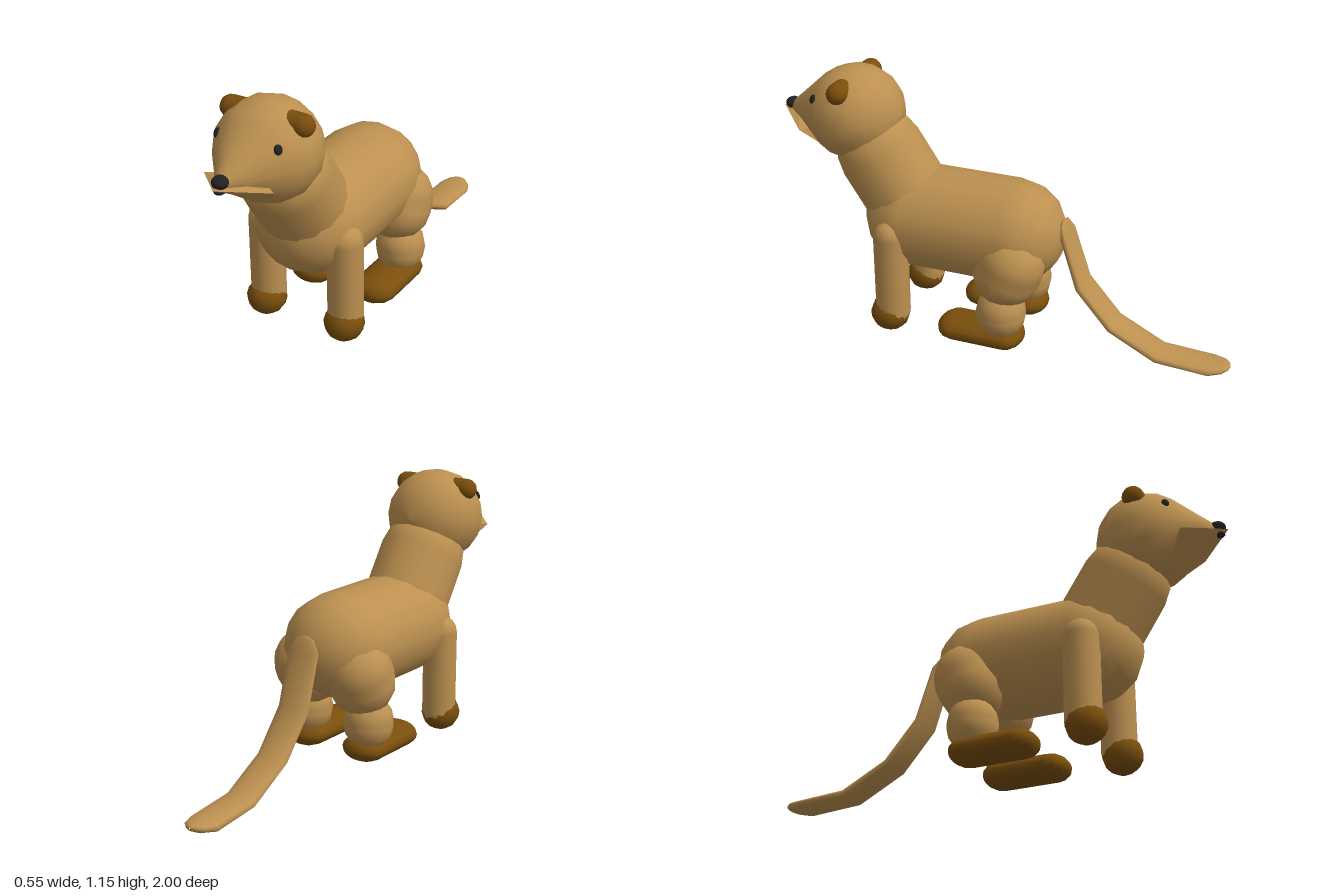
import * as THREE from 'three';
import { ConvexGeometry } from 'three/addons/geometries/ConvexGeometry.js';

const fur = new THREE.MeshStandardMaterial({ color: 0xbc9050 });
const brown = new THREE.MeshStandardMaterial({ color: 0x7a4e0c });
const black = new THREE.MeshStandardMaterial({ color: 0x222222 });
const V = (x, y, z) => new THREE.Vector3(x, y, z);

export function createModel() {
  const model = new THREE.Group();

  function add(name, geometry, material, parent = model) {
    const mesh = new THREE.Mesh(geometry, material);
    mesh.name = name;
    parent.add(mesh);
    return mesh;
  }

  // Capsule whose cap centres lie at a and b
  function capsule(name, a, b, r, material, parent) {
    const dir = b.clone().sub(a);
    const mesh = add(name, new THREE.CapsuleGeometry(r, dir.length(), 4, 16), material, parent);
    mesh.position.copy(a).lerp(b, 0.5);
    mesh.quaternion.setFromUnitVectors(V(0, 1, 0), dir.normalize());
    return mesh;
  }

  function ball(name, p, sx, sy, sz, material, parent) {
    const mesh = add(name, new THREE.SphereGeometry(1, 12, 8), material, parent);
    mesh.position.copy(p);
    mesh.scale.set(sx, sy, sz);
    return mesh;
  }

  // Trunk and neck
  const body = capsule('body', V(0, 0.513, -0.053), V(0, 0.513, 0.385), 0.222, fur);
  body.scale.x = 1.05;
  capsule('neck', V(0, 0.63, 0.45), V(0, 0.78, 0.55), 0.187, fur);

  // Head: sphere running tangentially into a pointed snout
  const head = new THREE.Group();
  head.name = 'head';
  model.add(head);
  const r = 0.206, tip = 0.33, tangent = Math.acos(r / tip);
  const profile = [];
  for (let i = 0; i <= 7; i++) {
    const a = Math.PI + (tangent - Math.PI) * i / 7;
    profile.push(new THREE.Vector2(Math.max(r * Math.sin(a), 0), r * Math.cos(a)));
  }
  profile.push(new THREE.Vector2(0.07, 0.241), new THREE.Vector2(0, tip));
  const skull = add('skull', new THREE.LatheGeometry(profile, 16).rotateX(Math.PI / 2 + 0.06), fur, head);
  skull.position.set(0, 0.945, 0.655);
  skull.scale.x = 1.03;

  // Angular lip wedge flaring to both sides of the snout
  const lip = [V(0, 0.925, 1), V(0, 0.935, 0.93), V(0, 0.89, 0.94)];
  for (const s of [-1, 1]) lip.push(V(s * 0.155, 0.89, 0.85), V(s * 0.1, 0.82, 0.79), V(s * 0.08, 0.89, 0.8));
  add('lips', new ConvexGeometry(lip), fur, head);
  ball('nose', V(0, 0.941, 0.955), 0.033, 0.026, 0.035, black, head);
  ball('mouth', V(0, 0.908, 0.963), 0.022, 0.012, 0.022, black, head);

  // Mirrored parts
  for (const [side, s] of [['left', 1], ['right', -1]]) {
    const eye = ball(side + 'Eye', V(s * 0.134, 1.03, 0.787), 0.016, 0.02, 0.012, black, head);
    eye.lookAt(s * 0.27, 1.11, 0.92);
    capsule(side + 'Ear', V(s * 0.1, 1.078, 0.66), V(s * 0.157, 1.078, 0.66), 0.046, brown, head);

    const front = new THREE.Group();
    front.name = side + 'FrontLeg';
    model.add(front);
    capsule('frontShank', V(s * 0.186, 0.487, 0.43), V(s * 0.186, 0.13, 0.43), 0.074, fur, front);
    const paw = ball('frontPaw', V(s * 0.188, 0.118, 0.443), 0.084, 0.08, 0.085, brown, front);
    paw.rotation.x = -0.15;

    const hind = new THREE.Group();
    hind.name = side + 'HindLeg';
    model.add(hind);
    capsule('thigh', V(s * 0.135, 0.385, -0.073), V(s * 0.135, 0.43, -0.092), 0.142, fur, hind);
    capsule('hindShank', V(s * 0.16, 0.22, -0.057), V(s * 0.16, 0.2, -0.057), 0.105, fur, hind);
    const foot = capsule('hindFoot', V(s * 0.153, 0.1, -0.08), V(s * 0.153, 0.1, 0.15), 0.075, brown, hind);
    foot.scale.set(1.3, 1, 0.73);
  }

  // Tail: flat elliptical sections [x, y, z, half width, half thickness]
  const stations = [
    [0, 0.607, -0.272, 0.004, 0.003], [0, 0.595, -0.274, 0.045, 0.01], [-0.004, 0.545, -0.288, 0.076, 0.02],
    [-0.008, 0.32, -0.36, 0.077, 0.024], [-0.013, 0.155, -0.5, 0.077, 0.025], [-0.021, 0.048, -0.7, 0.077, 0.026],
    [-0.031, 0.03, -0.92, 0.077, 0.026], [-0.032, 0.036, -0.97, 0.055, 0.02], [-0.033, 0.04, -0.992, 0.03, 0.013],
    [-0.033, 0.041, -1, 0.003, 0.003],
  ];
  const sides = 12, pos = [], idx = [];
  stations.forEach(([x, y, z, w, t], i) => {
    const p = stations[Math.max(i - 1, 0)], n = stations[Math.min(i + 1, stations.length - 1)];
    const dir = V(0, n[1] - p[1], n[2] - p[2]).normalize();
    for (let j = 0; j < sides; j++) {
      const a = j / sides * Math.PI * 2, h = t * Math.sin(a);
      pos.push(x + w * Math.cos(a), y - h * dir.z, z + h * dir.y);
      if (i === 0) continue;
      const k = (j + 1) % sides, b = i * sides, c = b - sides;
      idx.push(c + j, b + j, c + k, c + k, b + j, b + k);
    }
  });
  const tailGeometry = new THREE.BufferGeometry();
  tailGeometry.setAttribute('position', new THREE.Float32BufferAttribute(pos, 3));
  tailGeometry.setIndex(idx);
  tailGeometry.computeVertexNormals();
  add('tail', tailGeometry, fur);

  return model;
}
